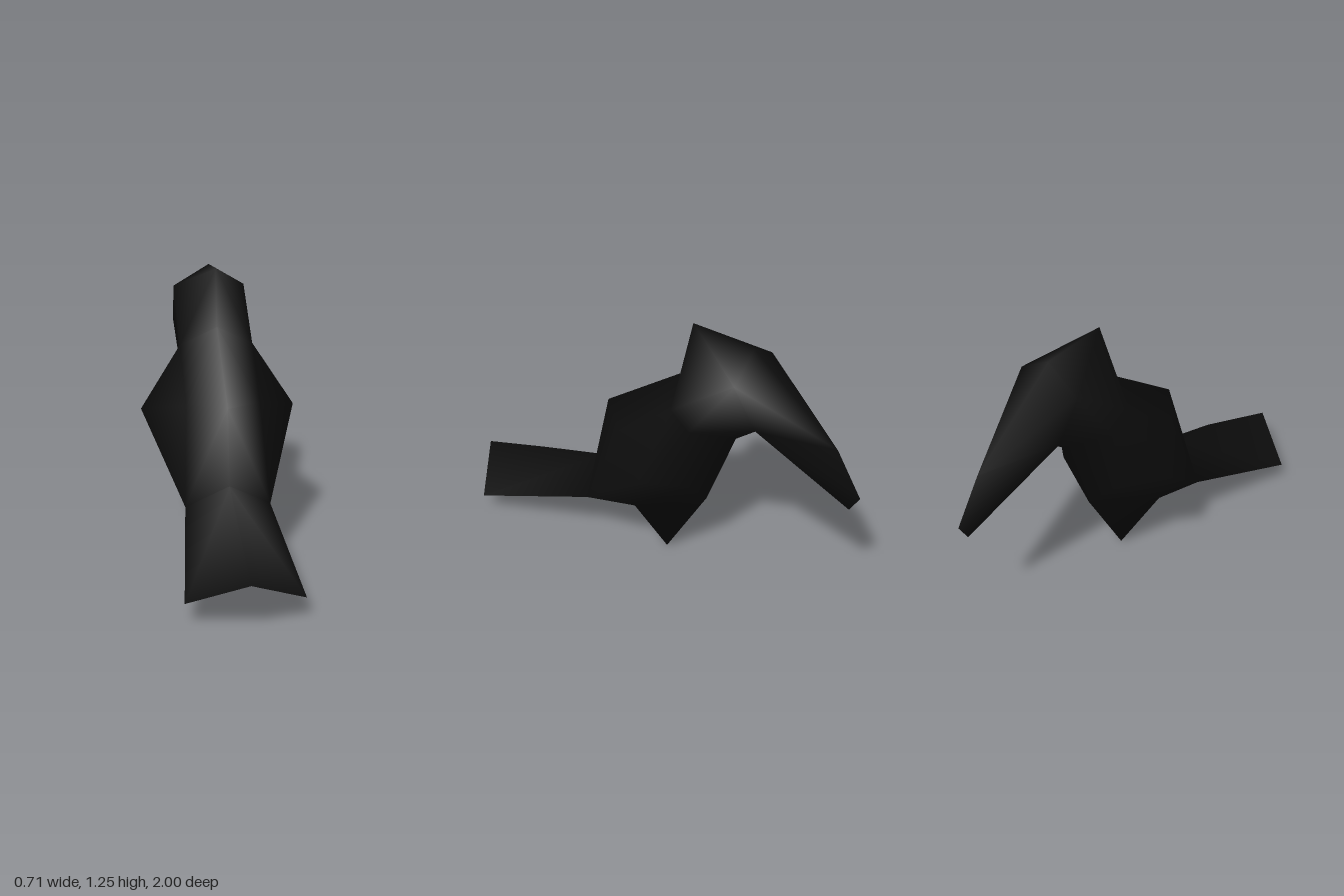
import * as THREE from 'three';

// Corner points: those with x = 0 lie on the centre line, the rest are mirrored.
const points = {
  crownFront: [0, 1.22, -0.47], crownBack: [0, 1.255, -0.175], nape: [0, 0.995, -0.125],
  back: [0, 0.725, 0.27], rump: [0, 0.39, 0.33], tailEnd: [0, 0.225, 1],
  belly: [0, 0.26, 0.06], legRear: [0, 0.31, -0.08], foot: [0, 0, -0.05],
  breast: [0, 0.365, -0.26], throat: [0, 0.745, -0.4], chin: [0, 0.86, -0.55],
  beakLow: [0, 0.58, -0.955], beakTip: [0, 0.655, -1], beakTop: [0, 0.86, -0.88],
  brow: [0.168, 1.12, -0.47], cheek: [0.165, 0.94, -0.575], neck: [0.168, 0.905, -0.167],
  collar: [0.165, 0.82, -0.255], chest: [0.165, 0.53, -0.255], wing: [0.355, 0.62, -0.12],
  flank: [0.165, 0.70, 0.11], tailRoot: [0.19, 0.28, 0.275], hip: [0.187, 0.335, 0.01],
  tailCorner: [0.25, 0.095, 0.86],
};

// Faces of the +x half, counter-clockwise from outside.
const parts = {
  beak: [
    'beakTop crownFront brow', 'beakTop brow cheek', 'beakTop cheek beakTip',
    'beakTip cheek beakLow', 'beakLow cheek chin',
  ],
  head: [
    'crownFront crownBack brow', 'crownBack neck brow', 'crownBack nape neck',
    'brow neck collar', 'brow collar cheek', 'cheek collar throat', 'cheek throat chin',
  ],
  body: [
    'nape back flank', 'nape flank neck', 'neck flank wing', 'neck wing collar',
    'collar wing chest', 'collar chest throat', 'throat chest breast',
    'back rump tailRoot', 'back tailRoot flank', 'flank tailRoot wing',
    'wing tailRoot hip', 'wing hip chest', 'chest hip breast',
    'hip tailRoot belly', 'hip belly legRear', 'tailRoot rump belly',
  ],
  leg: ['breast hip foot', 'foot hip legRear'],
  tail: ['rump tailEnd tailCorner', 'rump tailCorner tailRoot'],
};

export function createModel() {
  const black = new THREE.MeshStandardMaterial({ color: 0x0d0d0d, side: THREE.DoubleSide });
  black.name = 'black';

  // Shared corners, with mirrored copies of the side points
  const positions = [], left = {}, right = {};
  const add = (x, y, z) => positions.push(x, y, z) / 3 - 1;
  for (const [name, [x, y, z]] of Object.entries(points)) {
    left[name] = add(x, y, z);
    right[name] = x === 0 ? left[name] : add(-x, y, z);
  }

  // Both halves of each part
  const indices = {};
  for (const [part, faces] of Object.entries(parts)) {
    indices[part] = faces.flatMap((face) => {
      const [a, b, c] = face.split(' ');
      return [left[a], left[b], left[c], right[a], right[c], right[b]];
    });
  }

  // Smooth normals across the whole bird, so parts join without seams
  const whole = new THREE.BufferGeometry();
  whole.setAttribute('position', new THREE.Float32BufferAttribute(positions, 3));
  whole.setIndex(Object.values(indices).flat());
  whole.computeVertexNormals();

  const bird = new THREE.Group();
  bird.name = 'bird';
  for (const [part, index] of Object.entries(indices)) {
    const geometry = new THREE.BufferGeometry();
    geometry.setAttribute('position', whole.getAttribute('position'));
    geometry.setAttribute('normal', whole.getAttribute('normal'));
    geometry.setIndex(index);
    const mesh = new THREE.Mesh(geometry, black);
    mesh.name = part;
    bird.add(mesh);
  }
  return bird;
}
